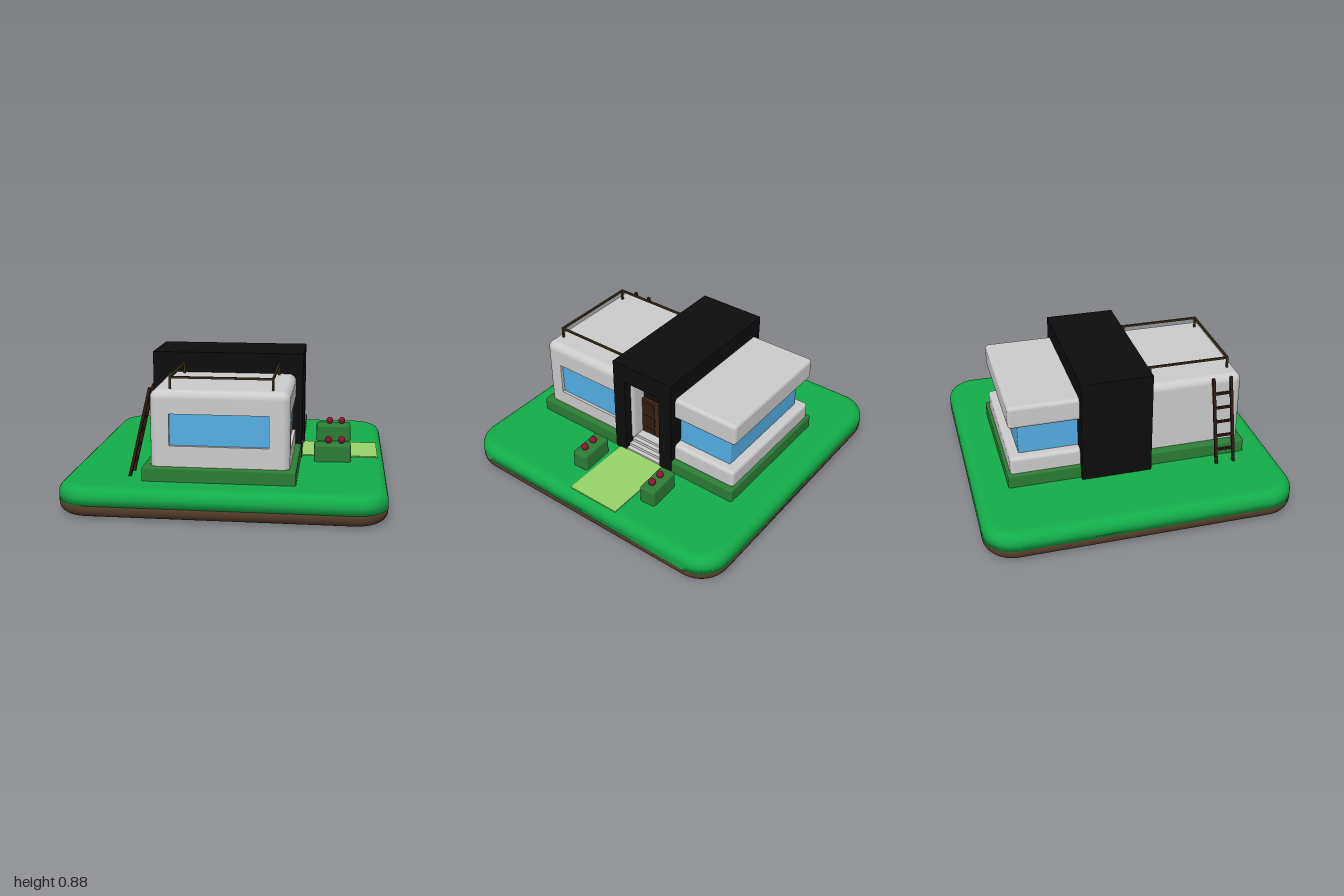
import * as THREE from 'three';
import { RoundedBoxGeometry } from 'three/addons/geometries/RoundedBoxGeometry.js';

const mat = (color, side = THREE.FrontSide) => new THREE.MeshStandardMaterial({ color, side });
const M = {
  wall: mat(0xcccccc), grass: mat(0x13ad49), soil: mat(0x58402e), hedge: mat(0x2c7d35),
  black: mat(0x0d0d0d), glass: mat(0x55aee4), door: mat(0x3f2818), panel: mat(0x301c10),
  rail: mat(0x3f2f1a), ladder: mat(0x2e1c12), path: mat(0x98d46a), berry: mat(0x8c1334),
};

export function createModel() {
  const root = new THREE.Group();
  const add = (name, geo, material, parent = root) => {
    const mesh = new THREE.Mesh(geo, material);
    mesh.name = name;
    parent.add(mesh);
    return mesh;
  };
  // boxes are given by their limits: [x0, x1], [y0, y1], [z0, z1]; r rounds the edges
  const block = (name, x, y, z, material, r = 0, parent = root) => {
    const s = [x, y, z].map(([a, b]) => b - a);
    const geo = r ? new RoundedBoxGeometry(...s, 4, r) : new THREE.BoxGeometry(...s);
    const mesh = add(name, geo, material, parent);
    mesh.position.set((x[0] + x[1]) / 2, (y[0] + y[1]) / 2, (z[0] + z[1]) / 2);
    return mesh;
  };
  const rectPath = (T, x0, x1, y0, y1) => new T([[x0, y0], [x1, y0], [x1, y1], [x0, y1]].map(p => new THREE.Vector2(...p)));
  const bar = (name, a, b, r, material, parent = root) => {
    const p = new THREE.Vector3(...a), q = new THREE.Vector3(...b);
    const mesh = add(name, new THREE.BoxGeometry(r, p.distanceTo(q) + r, r), material, parent);
    mesh.position.copy(p).add(q).multiplyScalar(0.5);
    mesh.quaternion.setFromUnitVectors(new THREE.Vector3(0, 1, 0), q.sub(p).normalize());
    return mesh;
  };

  // Ground: rounded squares stacked along an [inset, height] profile
  const slab = (profile) => {
    const pos = [], idx = [], n = 48;
    for (const [inset, y] of profile) {
      for (let i = 0; i < n; i++) {
        const corner = Math.floor(i / 12), a = (corner + (i % 12) / 11) * Math.PI / 2;
        const r = 0.2 - inset, sx = corner === 0 || corner === 3 ? 0.8 : -0.8, sz = corner < 2 ? 0.8 : -0.8;
        pos.push(sx + r * Math.cos(a), y, sz + r * Math.sin(a));
      }
    }
    for (let k = 0; k < profile.length - 1; k++) {
      for (let i = 0; i < n; i++) {
        const a = k * n + i, b = k * n + (i + 1) % n;
        idx.push(a, a + n, b, b, a + n, b + n);
      }
    }
    const last = (profile.length - 1) * n;
    for (let i = 1; i < n - 1; i++) {
      idx.push(0, i, i + 1, last, last + i + 1, last + i);
    }
    const g = new THREE.BufferGeometry();
    g.setAttribute('position', new THREE.Float32BufferAttribute(pos, 3));
    g.setIndex(idx);
    g.computeVertexNormals();
    return g;
  };
  const arc = (y0, dir) => [0, 1, 2, 3, 4, 5, 6].map(i => {
    const a = i / 6 * Math.PI / 2;
    return [0.065 * (1 - Math.cos(a)), y0 + dir * 0.065 * Math.sin(a)];
  });
  add('grass', slab([[0, 0.08], ...arc(0.125, 1), [0.075, 0.19]]), M.grass);
  add('soil', slab([[0.075, 0], ...arc(0.065, -1).reverse(), [0, 0.08]]), M.soil);
  block('gardenPath', [0.44, 0.955], [0.185, 0.196], [-0.255, 0.115], M.path);

  // Hedges around both wings
  block('frontHedge', [-0.49, 0.45], [0.17, 0.28], [0.1, 0.812], M.hedge, 0.015);
  block('backHedge', [-0.51, 0.45], [0.17, 0.28], [-0.777, -0.25], M.hedge, 0.015);

  // Front wing: rounded shell whose flat front and right faces become pierced wall panels
  const room = new THREE.Group();
  room.name = 'frontWing';
  room.position.set(-0.015, 0.49, 0.42);
  root.add(room);
  const W = 0.85, H = 0.52, D = 0.74, R = 0.05, T = 0.025;
  const shell = new RoundedBoxGeometry(W, H, D, 5, R);
  const src = shell.attributes.position, nor = shell.attributes.normal, keepP = [], keepN = [];
  for (let i = 0; i < src.count; i += 3) {
    const v = [0, 1, 2].map(k => i + k);
    if (v.every(k => src.getZ(k) > D / 2 - 1e-5) || v.every(k => src.getX(k) > W / 2 - 1e-5)) continue;
    for (const k of v) {
      keepP.push(src.getX(k), src.getY(k), src.getZ(k));
      keepN.push(nor.getX(k), nor.getY(k), nor.getZ(k));
    }
  }
  const shellGeo = new THREE.BufferGeometry();
  shellGeo.setAttribute('position', new THREE.Float32BufferAttribute(keepP, 3));
  shellGeo.setAttribute('normal', new THREE.Float32BufferAttribute(keepN, 3));
  add('wallShell', shellGeo, M.wall, room);
  const pierced = (w, hole) => {
    const s = rectPath(THREE.Shape, -w / 2 + R, w / 2 - R, -H / 2 + R, H / 2 - R);
    s.holes.push(rectPath(THREE.Path, ...hole));
    return new THREE.ExtrudeGeometry(s, { depth: T, bevelEnabled: false });
  };
  add('frontWall', pierced(W, [-0.305, 0.3, -0.08, 0.117]), M.wall, room).position.z = D / 2 - T;
  const side = add('sideWall', pierced(D, [-0.25, 0.295, -0.115, 0.107]), M.wall, room);
  side.rotation.y = Math.PI / 2;
  side.position.x = W / 2 - T;
  block('frontWindow', [-0.31, 0.305], [-0.09, 0.125], [0.33, D / 2 - 0.02], M.glass, 0, room);
  block('sideWindow', [0.38, W / 2 - 0.02], [-0.125, 0.115], [-0.3, 0.26], M.glass, 0, room);

  // Roof railing
  const railing = new THREE.Group();
  railing.name = 'roofRailing';
  root.add(railing);
  for (const x of [-0.32, 0.302]) {
    bar('sideRail', [x, 0.82, 0.19], [x, 0.82, 0.725], 0.013, M.rail, railing);
    for (const z of [0.2, 0.725]) bar('railPost', [x, 0.74, z], [x, 0.82, z], 0.013, M.rail, railing);
  }
  bar('frontRail', [-0.32, 0.82, 0.725], [0.302, 0.82, 0.725], 0.013, M.rail, railing);

  // Leaning ladder
  const ladder = new THREE.Group();
  ladder.name = 'ladder';
  root.add(ladder);
  for (const z of [0.587, 0.705]) bar('ladderRail', [-0.583, 0.19, z], [-0.45, 0.74, z], 0.018, M.ladder, ladder);
  for (let i = 1; i <= 5; i++) {
    const t = i / 6, x = -0.583 + 0.133 * t, y = 0.19 + 0.55 * t;
    bar('rung', [x, y, 0.587], [x, y, 0.705], 0.015, M.ladder, ladder);
  }

  // Back wing: two slabs with a ribbon of glass between
  block('backBase', [-0.49, 0.41], [0.22, 0.392], [-0.757, -0.2], M.wall, 0.025);
  block('backGlass', [-0.43, 0.35], [0.37, 0.62], [-0.692, -0.2], M.glass, 0.01);
  block('backRoof', [-0.49, 0.41], [0.605, 0.757], [-0.757, -0.2], M.wall, 0.025);

  // Dark entrance hall with a recessed doorway facing +x
  const BX = 0.28;
  block('hallBody', [-0.54, BX], [0.185, 0.882], [-0.307, 0.153], M.black);
  const portal = rectPath(THREE.Shape, -0.153, 0.307, 0.185, 0.882);
  portal.holes.push(rectPath(THREE.Path, -0.065, 0.212, 0.187, 0.752));
  const frame = add('doorPortal', new THREE.ExtrudeGeometry(portal, { depth: 0.455 - BX, bevelEnabled: false }), M.black);
  frame.rotation.y = Math.PI / 2;
  frame.position.x = BX;
  block('transom', [BX, BX + 0.015], [0.68, 0.752], [-0.212, 0.065], M.wall);
  block('door', [BX, BX + 0.02], [0.26, 0.54], [-0.205, 0.056], M.door);
  for (const z of [[-0.18, -0.095], [-0.055, 0.04]]) {
    for (const y of [[0.435, 0.52], [0.335, 0.415], [0.28, 0.318]]) {
      block('doorPanel', [BX + 0.01, BX + 0.025], y, z, M.panel);
    }
  }
  for (let i = 0; i < 4; i++) {
    block('step', [BX, 0.45 - i * 0.03], [0.188 + i * 0.02, 0.208 + i * 0.02], [-0.212, 0.065], M.wall);
  }

  // Bushes with berries beside the path
  for (const [z, turn] of [[-0.357, 0.05], [0.2, 0.05]]) {
    const bush = new THREE.Group();
    bush.name = 'bush';
    bush.position.set(0.657, 0, z);
    bush.rotation.y = turn;
    root.add(bush);
    block('bushBody', [-0.12, 0.12], [0.175, 0.305], [-0.056, 0.056], M.hedge, 0.018, bush);
    for (const x of [-0.027, 0.058]) {
      add('berry', new THREE.SphereGeometry(0.024, 16, 12), M.berry, bush).position.set(x, 0.326, 0);
    }
  }
  return root;
}
